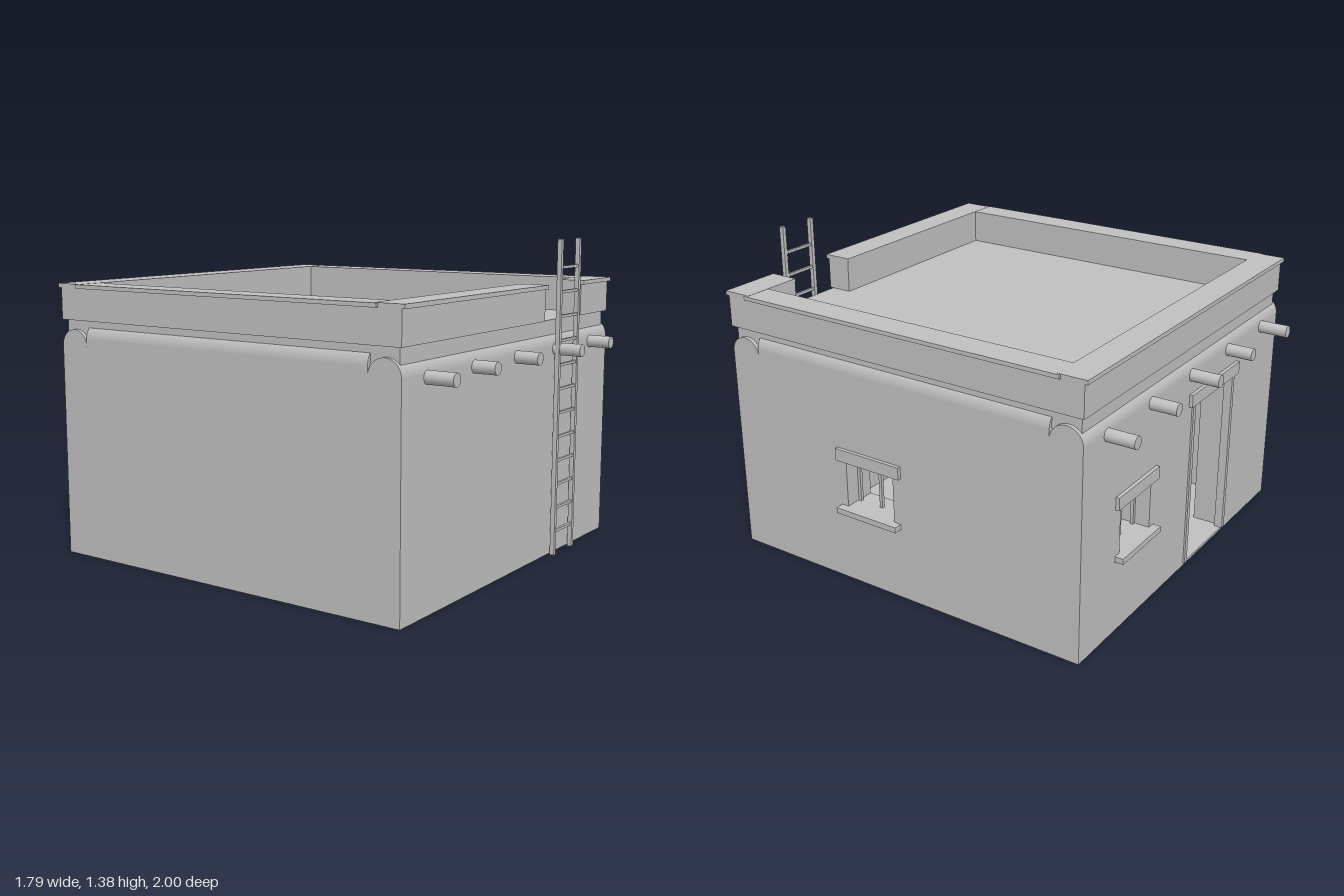
import * as THREE from 'three';
import { toCreasedNormals } from 'three/addons/utils/BufferGeometryUtils.js';

const clay = new THREE.MeshStandardMaterial({ color: 0xbfbfbf });
clay.name = 'plain clay';

const HALF = 0.87;    // half width of the house
const THICK = 0.145;  // wall thickness

function add(parent, name, geometry) {
  const mesh = new THREE.Mesh(geometry, clay);
  mesh.name = name;
  parent.add(mesh);
  return mesh;
}

// Box given by its limits on each axis
function block(parent, name, x0, x1, y0, y1, z0, z1) {
  const g = new THREE.BoxGeometry(x1 - x0, y1 - y0, z1 - z0);
  g.translate((x0 + x1) / 2, (y0 + y1) / 2, (z0 + z1) / 2);
  return add(parent, name, g);
}

function rect(path, x0, x1, y0, y1) {
  path.moveTo(x0, y0);
  path.lineTo(x1, y0);
  path.lineTo(x1, y1);
  path.lineTo(x0, y1);
  path.closePath();
  return path;
}

// Wall facing local +z, with openings [x0, x1, y0, y1] and a rounded crown
function wall(house, name, angle, half, height, openings) {
  const group = new THREE.Group();
  group.name = name;
  group.rotation.y = angle;
  house.add(group);

  const shape = rect(new THREE.Shape(), -half, half, 0, height);
  for (const o of openings) shape.holes.push(rect(new THREE.Path(), ...o));
  const panel = new THREE.ExtrudeGeometry(shape, { depth: THICK, bevelEnabled: false });
  panel.translate(0, 0, HALF - THICK);
  add(group, 'wallPanel', panel);

  const arch = new THREE.Shape();
  arch.absellipse(0, 0, THICK / 2, 0.07, 0, Math.PI, false);
  arch.closePath();
  const crown = new THREE.ExtrudeGeometry(arch, { depth: half * 2, bevelEnabled: false, curveSegments: 20 });
  crown.translate(0, 0, -half);
  crown.rotateY(Math.PI / 2);
  crown.translate(0, height, HALF - THICK / 2);
  add(group, 'roundedWallTop', toCreasedNormals(crown, 0.6));
  return group;
}

// Lintel, sill and upright bars of a window centred at local x
function windowTrim(group, x) {
  block(group, 'windowLintel', x - 0.165, x + 0.165, 0.56, 0.615, HALF - 0.05, HALF + 0.016);
  block(group, 'windowSill', x - 0.157, x + 0.157, 0.325, 0.35, HALF - 0.05, HALF + 0.037);
  for (const dx of [-0.115, 0, 0.115]) {
    block(group, 'windowBar', x + dx - 0.007, x + dx + 0.007, 0.35, 0.56, HALF - 0.08, HALF - 0.066);
  }
}

const opening = (x) => [x - 0.123, x + 0.123, 0.35, 0.56];

export function createModel() {
  const model = new THREE.Group();
  model.name = 'adobeHouse';
  const house = new THREE.Group();
  house.name = 'house';
  house.position.x = -0.013;
  model.add(house);

  // Walls; front and back run the full width, the sides fit between them
  const sideHalf = HALF - THICK;
  const backWindow = -0.45, sideWindow = -0.143, door = 0.217;
  wall(house, 'frontWall', 0, HALF, 0.925, []);
  const back = wall(house, 'backWall', Math.PI, HALF, 0.925,
    [opening(backWindow), [door - 0.2, door + 0.2, 0.012, 0.77]]);
  const side = wall(house, 'leftWall', Math.PI / 2, sideHalf, 0.96, [opening(sideWindow)]);
  wall(house, 'rightWall', -Math.PI / 2, sideHalf, 0.96, []);
  windowTrim(back, backWindow);
  windowTrim(side, sideWindow);

  // Door frame
  block(back, 'doorLintel', door - 0.23, door + 0.23, 0.77, 0.825, HALF - 0.05, HALF + 0.016);
  for (const s of [-1, 1]) {
    const x = door + s * 0.19;
    block(back, 'doorPost', x - 0.011, x + 0.011, 0.012, 0.77, HALF - 0.03, HALF + 0.008);
  }

  // Floor and roof slab
  block(house, 'floor', -sideHalf, sideHalf, 0, 0.012, -sideHalf, sideHalf);
  block(house, 'roofSlab', -0.853, 0.853, 0.96, 1.035, -0.853, 0.853);

  // Parapet with a gap at the front for the ladder
  const inner = 0.757, y0 = 1.035, y1 = 1.172, y2 = 1.19;
  const gap0 = 0.243, gap1 = 0.589;
  block(house, 'backParapet', -HALF, HALF, y0, y1, -HALF, -inner);
  block(house, 'backCap', -0.873, 0.873, y1, y2, -0.884, -inner + 0.003);
  for (const [a, b, ca, cb] of [[-HALF, gap0, -0.873, gap0], [gap1, HALF, gap1, 0.873]]) {
    block(house, 'frontParapet', a, b, y0, y1, inner, HALF);
    block(house, 'frontCap', ca, cb, y1, y2, inner - 0.003, 0.884);
  }
  for (const s of [-1, 1]) {
    const span = (a, b) => (s > 0 ? [a, b] : [-b, -a]);
    block(house, 'sideParapet', ...span(inner, HALF), y0, y1, -inner, inner);
    block(house, 'sideCap', ...span(inner - 0.003, 0.883), y1, y2 - 0.001, -0.772, 0.77);
  }

  // Round roof beams running front to back, with uneven ends
  const ends = [[-1, 0.995], [-0.988, 0.972], [-1, 0.975], [-0.988, 0.997], [-0.997, 0.975]];
  ends.forEach(([z0, z1], i) => {
    const g = new THREE.CylinderGeometry(0.027, 0.027, z1 - z0, 20);
    g.rotateX(Math.PI / 2);
    g.translate((i - 2) * 0.3475, 0.91, (z0 + z1) / 2);
    add(house, 'roofBeam', g);
  });

  // Ladder
  const ladder = new THREE.Group();
  ladder.name = 'ladder';
  model.add(ladder);
  for (const x of [0.316, 0.491]) {
    block(ladder, 'ladderRail', x - 0.009, x + 0.009, 0, 1.38, 0.882, 0.902);
  }
  for (let i = 1; i <= 12; i++) {
    block(ladder, 'ladderRung', 0.325, 0.482, i * 0.105 - 0.006, i * 0.105 + 0.006, 0.886, 0.898);
  }
  return model;
}
